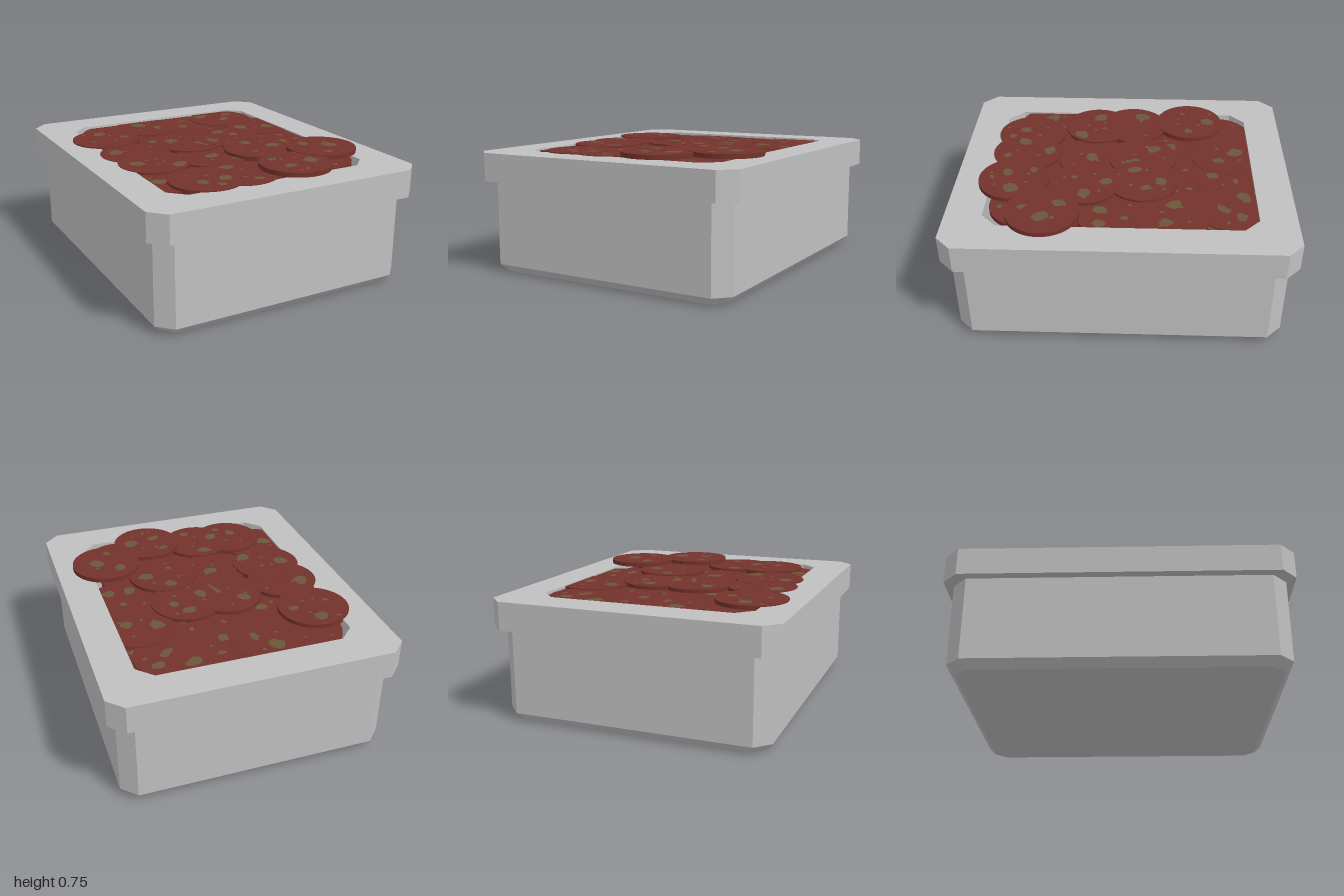
import * as THREE from 'three';

const RADIUS = 0.212, THICK = 0.027;

// Slices lying on top: [x, z, top height, [spot x, z, radius]...]
const topSlices = [
  [0.53, 0.445, 0.745, [0.46, 0.35, 0.045], [0.59, 0.45, 0.05], [0.5, 0.57, 0.025]],
  [0.21, 0.645, 0.742, [0.12, 0.54, 0.032], [0.31, 0.65, 0.05], [0.15, 0.69, 0.04], [0.2, 0.78, 0.018]],
  [0.215, 0.23, 0.722, [0.2, 0.1, 0.045], [0.33, 0.22, 0.045], [0.16, 0.29, 0.022]],
  [-0.53, -0.42, 0.717, [-0.53, -0.54, 0.05], [-0.41, -0.41, 0.036], [-0.63, -0.38, 0.02]],
  [0.17, -0.12, 0.7155, [0.18, -0.23, 0.045], [0.06, -0.07, 0.045], [0.25, -0.14, 0.03]],
  [-0.09, -0.115, 0.714, [-0.18, -0.19, 0.045], [-0.02, -0.06, 0.05]],
  [-0.35, 0.605, 0.7155, [-0.39, 0.65, 0.04], [-0.24, 0.64, 0.05], [-0.31, 0.73, 0.03]],
  [-0.13, 0.61, 0.714, [-0.15, 0.475, 0.05], [-0.08, 0.73, 0.032]],
  [-0.465, 0.18, 0.714, [-0.57, 0.17, 0.05], [-0.35, 0.28, 0.05]],
  [-0.485, -0.05, 0.7125, [-0.59, -0.11, 0.05], [-0.48, 0.02, 0.032]],
];

// Slices sunk into the pan, overlapping the walls
const sunkSlices = [
  [0.42, 0.55, 0.706, [0.45, 0.7, 0.02]],
  [0.52, -0.29, 0.706, [0.4, -0.31, 0.05], [0.57, -0.26, 0.045]],
  [0.5, 0.04, 0.702, [0.46, 0.12, 0.045], [0.59, 0.12, 0.042], [0.53, -0.02, 0.025]],
  [-0.1, 0.2, 0.704, [-0.09, 0.2, 0.05], [0.02, 0.3, 0.03]],
  [-0.5, 0.49, 0.7, [-0.58, 0.49, 0.05]],
  [-0.4, -0.6, 0.694, [-0.33, -0.64, 0.018]],
  [-0.15, -0.63, 0.698, [-0.18, -0.7, 0.05], [-0.09, -0.59, 0.035]],
  [0.1, -0.62, 0.696, [0.08, -0.54, 0.042], [0.13, -0.68, 0.02]],
  [0.41, -0.62, 0.7, [0.31, -0.72, 0.05], [0.43, -0.59, 0.042], [0.5, -0.69, 0.04]],
  [0.52, -0.58, 0.692, [0.58, -0.53, 0.045]],
  [0.28, -0.64, 0.688],
  [-0.26, -0.36, 0.69, [-0.25, -0.3, 0.04]],
  [0, -0.38, 0.692, [0.02, -0.38, 0.02]],
  [0.25, -0.38, 0.694, [0.22, -0.4, 0.02]],
  [-0.05, 0.42, 0.694], [0.12, 0.45, 0.69], [-0.28, 0.06, 0.688],
  [-0.28, 0.36, 0.692], [0.03, 0.05, 0.686], [0.38, 0.3, 0.688], [0.3, -0.12, 0.684],
];

function seeded(seed) {
  let s = seed;
  return () => (s = (s * 16807) % 2147483647) / 2147483647;
}

// Corner points of a chamfered rectangle, counter-clockwise from above
function ring([w, d, c, y]) {
  return [[w, d - c], [w, c - d], [w - c, -d], [c - w, -d], [-w, c - d], [-w, d - c], [c - w, d], [w - c, d]]
    .map(([x, z]) => [x, y, z]);
}

// Flat-faced shell through a stack of chamfered rectangles
function loft(sections) {
  const rings = sections.map(ring), pos = [];
  for (let r = 0; r < rings.length - 1; r++) {
    for (let i = 0; i < 8; i++) {
      const j = (i + 1) % 8, lo = rings[r], hi = rings[r + 1];
      pos.push(...lo[i], ...lo[j], ...hi[j], ...lo[i], ...hi[j], ...hi[i]);
    }
  }
  const geo = new THREE.BufferGeometry();
  geo.setAttribute('position', new THREE.Float32BufferAttribute(pos, 3));
  geo.computeVertexNormals();
  return geo;
}

// Irregular flat blotch facing up
function blotch(radius, rand) {
  const pts = [], n = 9, stretch = 0.75 + rand() * 0.2, turn = rand() * Math.PI;
  for (let i = 0; i < n; i++) {
    const a = (i / n) * Math.PI * 2, r = radius * (0.75 + rand() * 0.45);
    pts.push(new THREE.Vector2(Math.cos(a) * r, Math.sin(a) * r * stretch)
      .rotateAround(new THREE.Vector2(), turn));
  }
  return new THREE.ShapeGeometry(new THREE.Shape(pts)).rotateX(-Math.PI / 2);
}

export function createModel() {
  const model = new THREE.Group();
  model.name = 'panOfSlices';
  const steel = new THREE.MeshStandardMaterial({ color: 0xc0c0c0 });
  const meat = new THREE.MeshStandardMaterial({ color: 0x73322b });
  const herb = new THREE.MeshStandardMaterial({ color: 0x6a563a });
  steel.name = 'grey';
  meat.name = 'darkRed';
  herb.name = 'olive';

  const add = (parent, name, geo, mat, x = 0, y = 0, z = 0) => {
    const mesh = new THREE.Mesh(geo, mat);
    mesh.name = name;
    mesh.position.set(x, y, z);
    parent.add(mesh);
    return mesh;
  };

  // Pan: chamfered body, overhanging rim, hollow inside
  const foot = [0.793, 0.95, 0.085, 0.047], neck = [0.793, 0.95, 0.085, 0.545];
  const mouth = [0.635, 0.785, 0.09, 0.71];
  add(model, 'panBody', loft([[0, 0, 0, 0], [0.748, 0.905, 0.07, 0], foot, neck]), steel);
  add(model, 'panRim', loft([neck, [0.845, 1, 0.088, 0.545], [0.845, 1, 0.088, 0.71], mouth]), steel);
  add(model, 'panInside', loft([mouth, [0.635, 0.785, 0.09, 0.08], [0, 0, 0, 0.08]]), steel);

  // Round slices with blotches and small specks
  const disc = new THREE.CylinderGeometry(RADIUS, RADIUS, THICK, 48);
  [...topSlices, ...sunkSlices].forEach(([x, z, top, ...spots], index) => {
    const rand = seeded(977 + index * 7919);
    const slice = new THREE.Group();
    slice.name = 'slice';
    slice.position.set(x, top, z);
    model.add(slice);
    add(slice, 'sliceDisc', disc, meat, 0, -THICK / 2, 0);
    for (const [sx, sz, r] of spots) {
      add(slice, 'blotch', blotch(r, rand), herb, sx - x, 0.0007, sz - z);
    }
    for (let i = 0; i < 4; i++) {
      const a = (i + rand() * 0.7) * Math.PI / 2, d = 0.05 + rand() * 0.13;
      add(slice, 'speck', blotch(0.01 + rand() * 0.005, rand), herb, Math.cos(a) * d, 0.0007, Math.sin(a) * d);
    }
  });
  return model;
}
